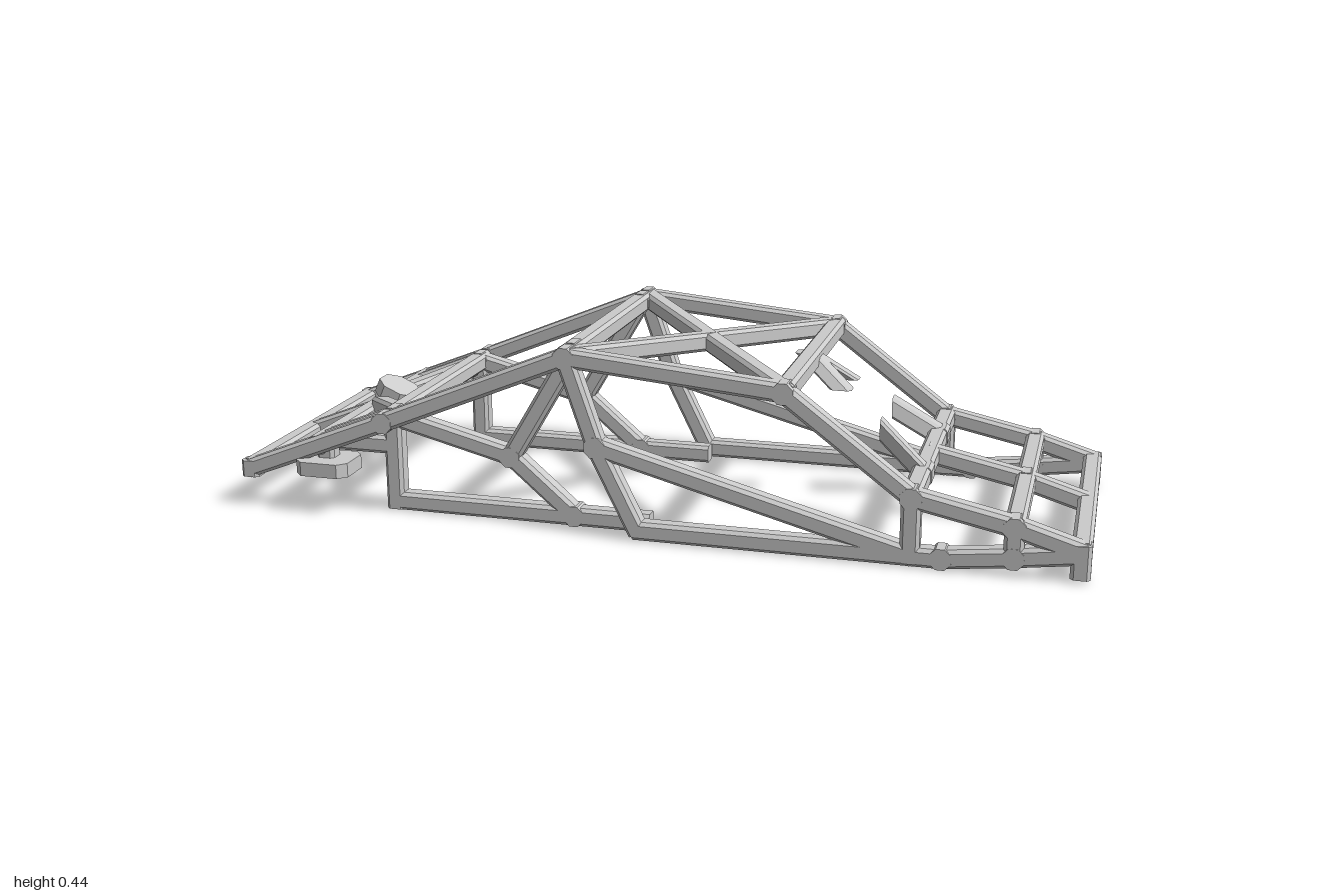
import * as THREE from 'three';

export function createModel() {
  const group = new THREE.Group();
  const steel = new THREE.MeshStandardMaterial({ color: 0xcccccc });
  steel.name = 'grey steel';

  const W = 0.044; // tube width
  const OUT = 0.33, IN = 0.275; // outer and inner side planes

  // Prism with a chamfered rectangular section, running along z from 0 to depth
  function prism(w, h, c, depth) {
    const x = w / 2, y = h / 2;
    const corners = [[x, y - c], [x - c, y], [c - x, y], [-x, y - c], [-x, c - y], [c - x, -y], [x - c, -y], [x, c - y]];
    const shape = new THREE.Shape(corners.map(p => new THREE.Vector2(...p)));
    return new THREE.ExtrudeGeometry(shape, { depth, bevelEnabled: false });
  }

  function add(name, geometry, x = 0, y = 0, z = 0) {
    const mesh = new THREE.Mesh(geometry, steel);
    mesh.name = name;
    mesh.position.set(x, y, z);
    group.add(mesh);
    return mesh;
  }

  // Straight tube between two points
  function bar(name, a, b, extra = 0.008) {
    const p = new THREE.Vector3(...a), q = new THREE.Vector3(...b);
    const length = p.distanceTo(q) + extra * 2;
    const geo = prism(W, W, 0.008, length).translate(0, 0, -length / 2);
    const mid = p.clone().add(q).multiplyScalar(0.5);
    add(name, geo, mid.x, mid.y, mid.z).lookAt(q);
  }

  // Slanted tube whose ends are cut parallel to the plane of u and v
  function cutBar(name, a, b, u, v, w, h) {
    const p = new THREE.Vector3(...a), d = new THREE.Vector3(...b).sub(p);
    const basis = new THREE.Matrix4().makeBasis(new THREE.Vector3(...u), new THREE.Vector3(...v), d);
    add(name, prism(w, h, 0.008, 1).applyMatrix4(basis), p.x, p.y, p.z);
  }

  // Chain of tubes through [x, y] points in one side plane, with a joint at each bend
  function run(name, points, z) {
    for (let i = 1; i < points.length; i++) {
      bar(name, [...points[i - 1], z], [...points[i], z]);
      if (i > 1) joint(points[i - 1], z);
    }
  }

  function joint([x, y], z) {
    add('joint', prism(0.048, 0.048, 0.014, 0.046).translate(0, 0, -0.023), x, Math.max(y, 0.024), z);
  }

  // Joints of the frame in side elevation
  const tail = [-0.977, 0.09], rear = [-0.625, 0.23], roofRear = [-0.175, 0.416];
  const roofFront = [0.325, 0.37], cowl = [0.612, 0.155], mid = [0.835, 0.108], nose = [0.977, 0.065];
  const sillFront = [0.612, 0.022], sillRear = [-0.625, 0.022];
  const sillMid = [-0.175, 0.022], sillDoor = [-0.01, 0.022];
  const knee = [-0.33, 0.155], doorTop = [-0.105, 0.213], mount = [-0.8, 0.16];

  for (const s of [1, -1]) {
    const z = s * OUT, zi = s * IN;

    // Outer side frame
    run('upperRail', [tail, rear, roofRear, roofFront, cowl, mid, nose], z);
    run('sill', [sillDoor, sillFront], z);
    run('noseLowerRail', [sillFront, [0.68, 0.022], [0.835, 0.04], [0.977, 0.06]], z);
    run('cowlPost', [cowl, [0.612, 0.015]], z);
    run('middlePost', [[0.835, 0.115], [0.835, 0.03]], z);
    run('nosePost', [[0.977, 0.075], [0.977, 0.014]], z);
    run('tailPost', [[-0.977, 0.102], [-0.977, 0.078]], z);
    run('doorPost', [roofRear, doorTop, sillDoor], z);
    run('doorBar', [doorTop, sillFront], z);

    // Inner rear side frame
    run('rearPost', [rear, [-0.625, 0.01]], zi);
    run('innerSill', [sillRear, sillMid, [0, 0.022]], zi);
    run('rearBrace', [rear, knee], zi);
    run('sideBrace', [roofRear, knee, sillMid], zi);
    run('engineRail', [mount, [-0.625, 0.16]], zi);
    run('engineUpperRail', [mount, rear], zi);
    joint(rear, zi);
    joint(roofRear, zi);

    // Rear suspension pad and its short stem
    const pad = prism(0.132, 0.115, 0.02, 0.034).rotateX(-Math.PI / 2);
    add('suspensionPad', pad, -0.78, 0.094, s * 0.3205);
    run('padStem', [[-0.785, 0.16], [-0.785, 0.12]], s * 0.31);

    // Diagonals of the roof and engine bay
    bar('roofDiagonal', [...roofRear, z], [...roofFront, -z]);
    bar('engineDiagonal', [-0.775, 0.18, s * 0.035], [-0.63, 0.222, s * 0.23], 0);

    // Short windscreen tubes, cut level at the roof end and upright at the cowl end
    cutBar('screenUpperStub', [0.313, 0.38, 0], [0.405, 0.31, s * 0.05], [1, 0, 0], [0, 0, 1], 0.052, W);
    cutBar('screenLowerStub', [0.62, 0.15, s * 0.16], [0.507, 0.234, s * 0.098], [0, 0, 1], [0, 1, 0], W, 0.053);
    bar('screenJoint', [0.615, 0.155, s * 0.138], [0.615, 0.155, s * 0.177]);
  }

  // Cross members
  for (const p of [tail, mount, roofRear, roofFront, cowl, mid, nose]) {
    bar('crossMember', [...p, -OUT], [...p, OUT]);
  }
  bar('rearCrossMember', [...rear, -IN], [...rear, IN]);

  // Centre line tubes
  run('noseSpine', [cowl, mid, nose], 0);
  run('tailSpine', [tail, mount], 0);

  // Tilted plate over the engine bay
  const plate = prism(0.1, 0.1, 0.027, 0.036).translate(0, 0, -0.018).rotateX(-Math.PI / 2);
  add('enginePlate', plate, -0.742, 0.208, 0).rotation.z = -0.42;

  return group;
}
